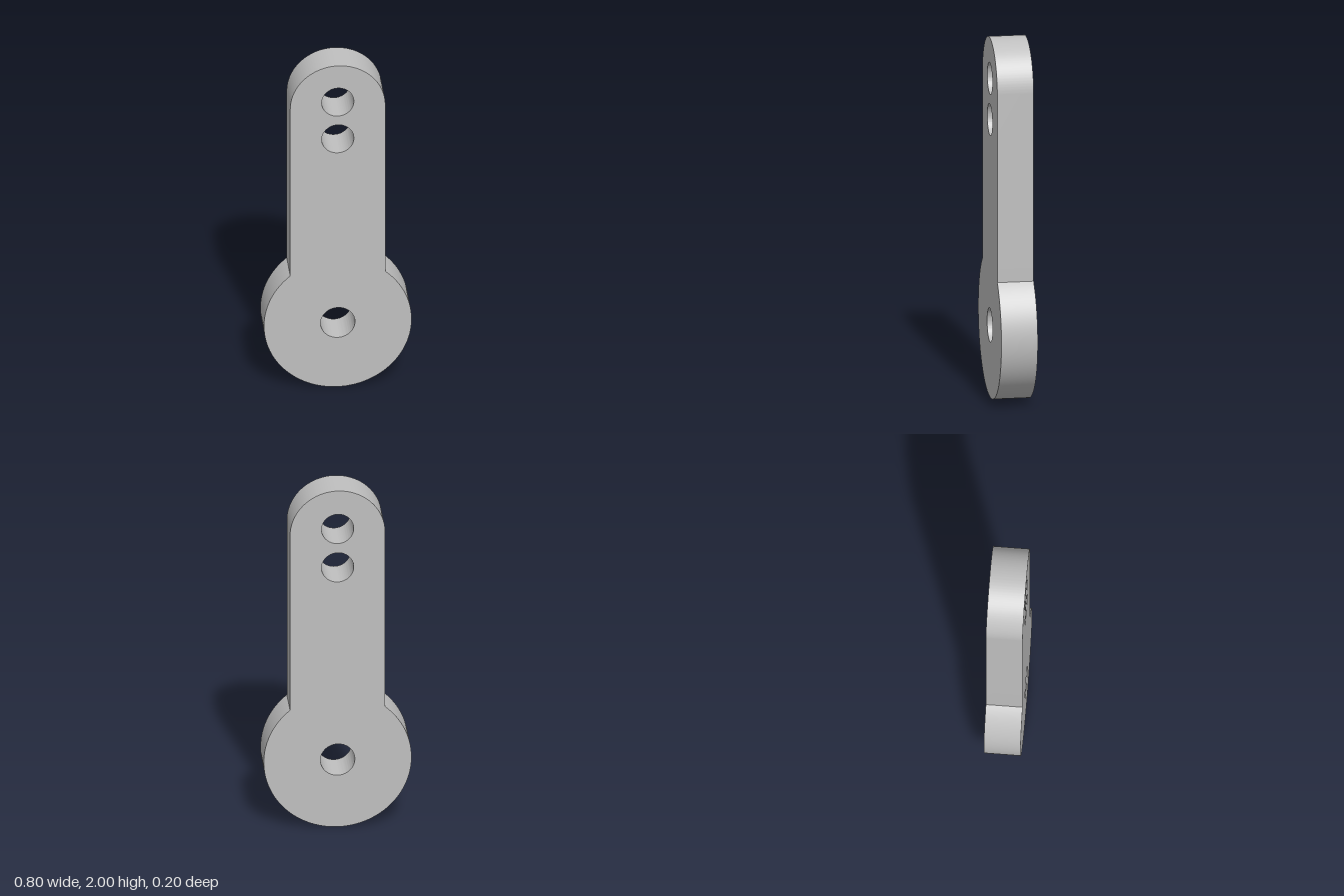
import * as THREE from 'three';
import { toCreasedNormals } from 'three/addons/utils/BufferGeometryUtils.js';

const DEPTH = 0.198;
const DISC_R = 0.399;
const ARM_R = 0.257;

export function createModel() {
  const group = new THREE.Group();
  group.name = 'leverArm';

  const greyMetal = new THREE.MeshStandardMaterial({ color: 0xc0c0c0 });
  greyMetal.name = 'greyMetal';

  // Outline: round hub below, straight arm with a rounded end above
  const meet = Math.acos(ARM_R / DISC_R);
  const outline = new THREE.Shape();
  outline.absarc(0, DISC_R, DISC_R, Math.PI - meet, meet, false);
  outline.absarc(0, 2 - ARM_R, ARM_R, 0, Math.PI, false);
  outline.closePath();

  // Pivot hole and two holes near the tip: [height, radius]
  for (const [y, r] of [[0.4, 0.093], [1.545, 0.087], [1.774, 0.087]]) {
    const hole = new THREE.Path();
    hole.absarc(0, y, r, 0, Math.PI * 2, true);
    outline.holes.push(hole);
  }

  const plate = new THREE.ExtrudeGeometry(outline, {
    depth: DEPTH, bevelEnabled: false, curveSegments: 64,
  });
  plate.translate(0, 0, -DEPTH / 2);

  const arm = new THREE.Mesh(toCreasedNormals(plate, 0.5), greyMetal);
  arm.name = 'armPlate';
  group.add(arm);
  return group;
}
